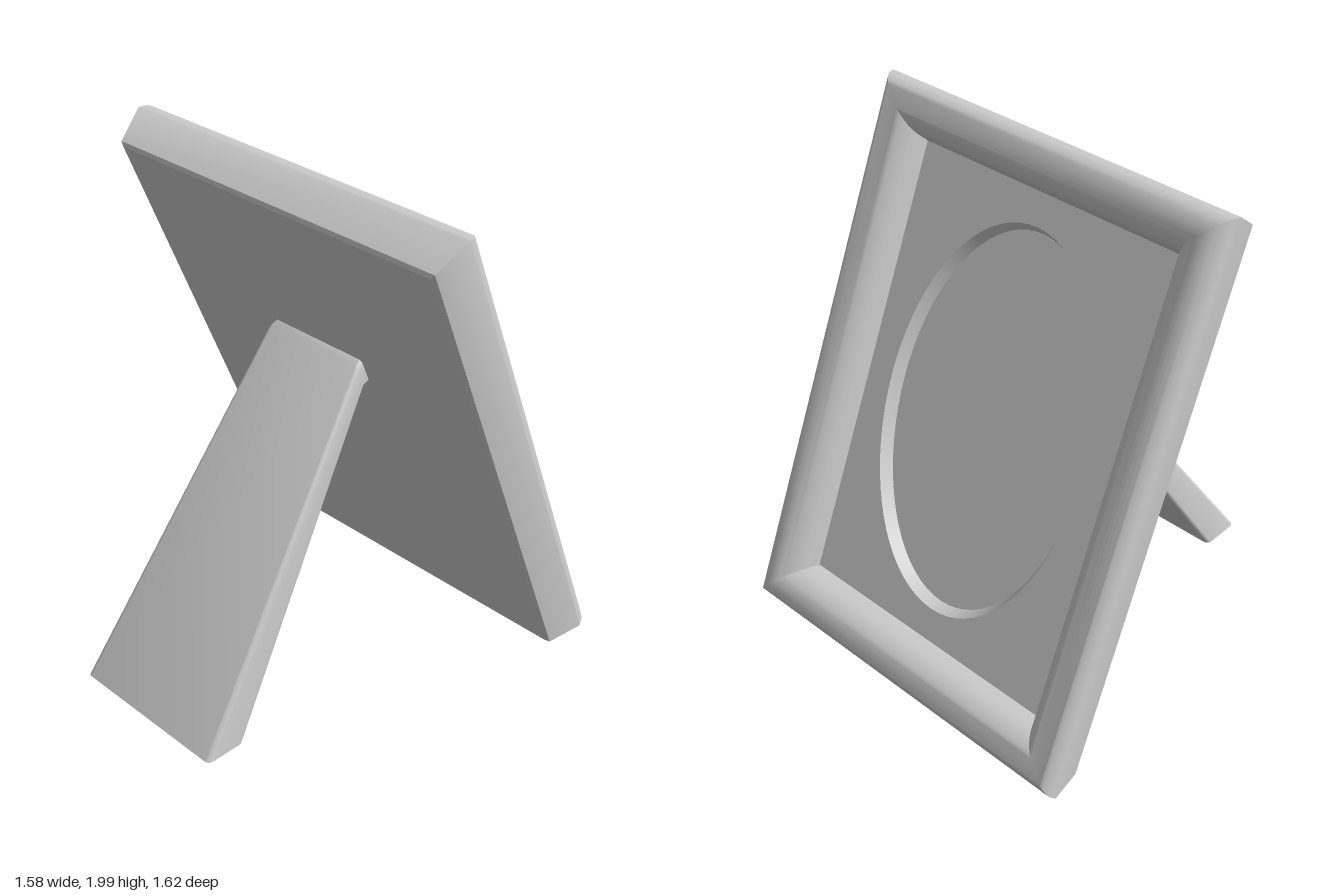
import * as THREE from 'three';
import { toCreasedNormals } from 'three/addons/utils/BufferGeometryUtils.js';

const material = new THREE.MeshStandardMaterial({ color: 0xcccccc });

// Skin a list of closed rings (counter-clockwise about the travel direction), with optional flat caps.
function loft(rings, capStart, capEnd) {
  const pos = [];
  const tri = (...pts) => pts.forEach((p) => pos.push(p.x, p.y, p.z));
  const n = rings[0].length;
  for (let r = 0; r < rings.length - 1; r++) {
    const a = rings[r], b = rings[r + 1];
    for (let i = 0; i < n; i++) {
      const j = (i + 1) % n;
      tri(a[i], a[j], b[j]);
      tri(a[i], b[j], b[i]);
    }
  }
  const cap = (ring, flip) => {
    const c = ring.reduce((s, p) => s.add(p), new THREE.Vector3()).divideScalar(n);
    ring.forEach((p, i) => {
      const q = ring[(i + 1) % n];
      flip ? tri(c, q, p) : tri(c, p, q);
    });
  };
  if (capStart) cap(rings[0], true);
  if (capEnd) cap(rings[rings.length - 1], false);
  const g = new THREE.BufferGeometry();
  g.setAttribute('position', new THREE.Float32BufferAttribute(pos, 3));
  return toCreasedNormals(g, 0.6);
}

function part(name, geometry) {
  const m = new THREE.Mesh(geometry, material);
  m.name = name;
  return m;
}

// Outer half size of the frame, and height of its centre along the slope
const HW = 0.79, HH = 1.07, MID = 1.02;
const PANEL_Z = 0.1;

const rectRing = (inset, z) => [[1, -1], [1, 1], [-1, 1], [-1, -1]].map(
  ([sx, sy]) => new THREE.Vector3(sx * (HW - inset), MID + sy * (HH - inset), z));

const ovalRing = (rx, ry, z) => Array.from({ length: 72 }, (_, i) => {
  const a = (i / 72) * Math.PI * 2;
  return new THREE.Vector3(rx * Math.cos(a), MID + ry * Math.sin(a), z);
});

// Rounded-rectangle section of the leg between an outer and an inner [z, y] point
function legRing(halfWidth, outer, inner, radius) {
  const o = new THREE.Vector3(0, outer[1], outer[0]);
  const i = new THREE.Vector3(0, inner[1], inner[0]);
  const mid = o.clone().add(i).multiplyScalar(0.5);
  const dir = o.clone().sub(i);
  const half = dir.length() / 2;
  dir.normalize();
  const ring = [];
  for (let k = 0; k < 4; k++) {
    const sd = k === 0 || k === 3 ? 1 : -1, sx = k < 2 ? 1 : -1;
    for (let j = 0; j <= 4; j++) {
      const a = (k + j / 4) * Math.PI / 2;
      const p = mid.clone().addScaledVector(dir, sd * (half - radius) + radius * Math.cos(a));
      p.x = sx * (halfWidth - radius) + radius * Math.sin(a);
      ring.push(p);
    }
  }
  return ring;
}

export function createModel() {
  const model = new THREE.Group();
  model.name = 'pictureFrame';

  // Leaning frame, its picture side towards -z
  const frame = new THREE.Group();
  frame.name = 'frame';
  frame.position.set(0, 0.007, -0.62);
  frame.rotation.set(0.4004, Math.PI, 0);
  model.add(frame);

  // Moulding and back: flat back, flared sides, rounded crest falling to the panel
  const crest = new THREE.SplineCurve([
    [0, 0.15], [0.012, 0.183], [0.042, 0.206], [0.085, 0.213],
    [0.13, 0.2], [0.172, 0.163], [0.2, PANEL_Z],
  ].map(([x, y]) => new THREE.Vector2(x, y))).getPoints(18);
  const profile = [[0.05, 0], [0.036, 0.01], ...crest.map((p) => [p.x, p.y])];
  frame.add(part('moulding', loft(profile.map(([inset, z]) => rectRing(inset, z)), true, false)));

  // Mount panel with oval opening
  const w = HW - 0.2, h = HH - 0.2;
  const shape = new THREE.Shape([[-w, -h], [w, -h], [w, h], [-w, h]].map(
    ([x, y]) => new THREE.Vector2(x, y + MID)));
  shape.holes.push(new THREE.Path(ovalRing(0.475, 0.75, 0).map((p) => new THREE.Vector2(p.x, p.y))));
  const mount = part('mountPanel', new THREE.ShapeGeometry(shape));
  mount.position.z = PANEL_Z;
  frame.add(mount);

  // Oval recess with sloping wall and flat picture surface
  frame.add(part('ovalRecess', loft(
    [ovalRing(0.475, 0.75, PANEL_Z), ovalRing(0.45, 0.725, 0.055)], false, true)));

  // Tapered easel leg with softened edges
  model.add(part('easelLeg', loft([
    legRing(0.33, [0.795, 0.015], [0.655, 0.015], 0.02),
    legRing(0.345, [0.808, 0.03], [0.637, 0.025], 0.02),
    legRing(0.228, [-0.055, 1.27], [-0.09, 1.175], 0.018),
    legRing(0.22, [-0.085, 1.29], [-0.13, 1.18], 0.018),
  ], true, true)));

  return model;
}
